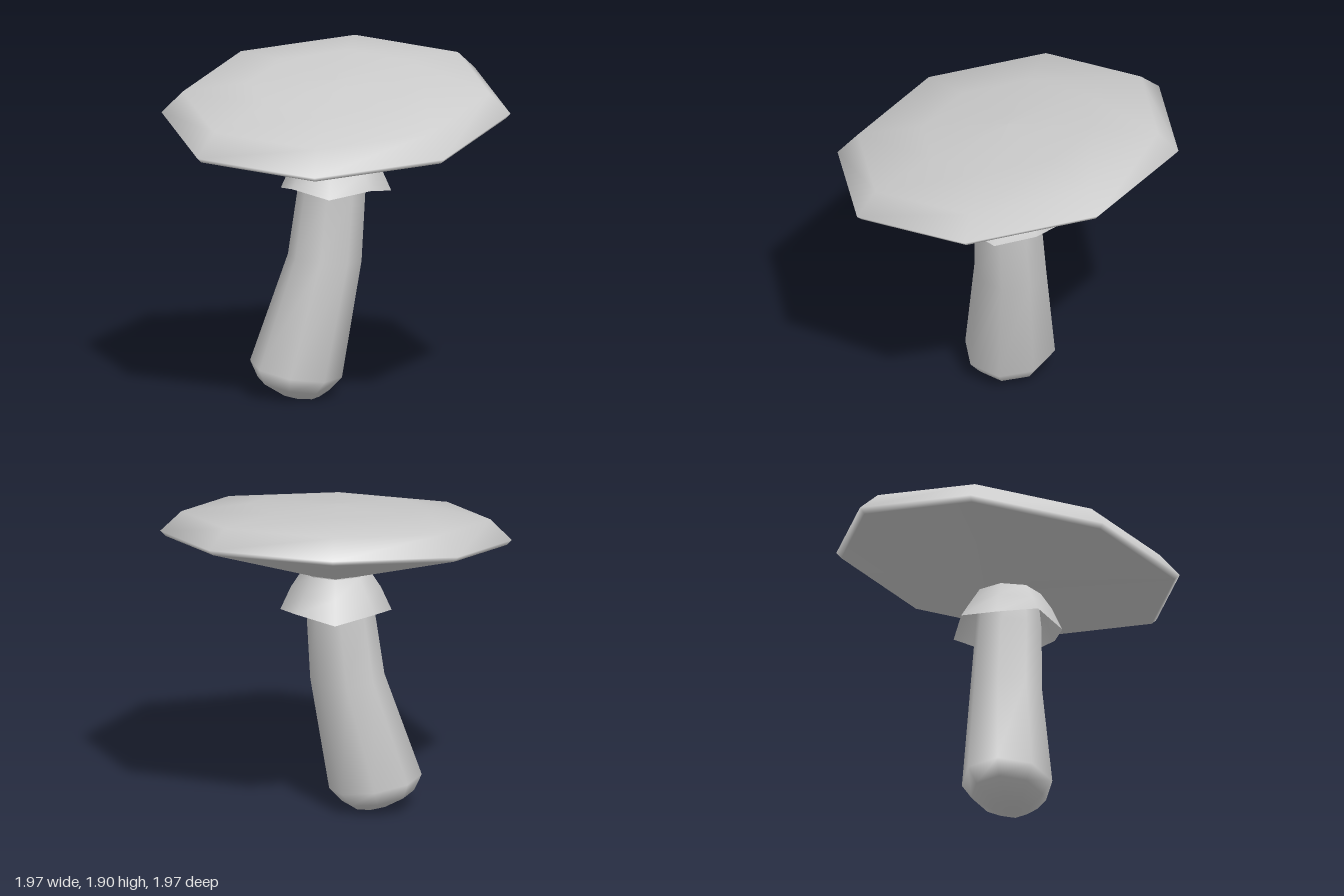
import * as THREE from 'three';

const SIDES = 8;
const TURN = THREE.MathUtils.degToRad(7.5);

// Smooth skin over rings {x, y, z, r, sx, sz, wave}; sx and sz tilt the ring,
// wave moves every other corner up and down. Rings run from bottom to top.
function loft(name, rings, { side = THREE.FrontSide } = {}) {
  const pos = [], idx = [];
  for (const { x = 0, y, z = 0, r, sx = 0, sz = 0, wave = 0 } of rings) {
    for (let i = 0; i < SIDES; i++) {
      const a = TURN + (i / SIDES) * Math.PI * 2;
      const dx = r * Math.cos(a), dz = r * Math.sin(a);
      pos.push(x + dx, y + sx * dx + sz * dz + (i % 2 ? -wave : wave), z + dz);
    }
  }
  for (let k = 0; k < rings.length - 1; k++) {
    for (let i = 0; i < SIDES; i++) {
      const a = k * SIDES + i, b = k * SIDES + (i + 1) % SIDES;
      const c = a + SIDES, d = b + SIDES;
      idx.push(a, c, b, b, c, d);
    }
  }
  const geo = new THREE.BufferGeometry();
  geo.setAttribute('position', new THREE.Float32BufferAttribute(pos, 3));
  geo.setIndex(idx);
  geo.computeVertexNormals();
  const mesh = new THREE.Mesh(geo, new THREE.MeshStandardMaterial({ color: 0xcccccc, side }));
  mesh.name = name;
  return mesh;
}

export function createModel() {
  const group = new THREE.Group();
  group.name = 'mushroom';

  // Bent stem with a rounded, slightly tilted foot
  group.add(loft('stem', [
    { x: -0.17, y: 0.005, z: -0.11, r: 0.001 },
    { x: -0.17, y: 0.015, z: -0.12, r: 0.11, sx: -0.04, sz: -0.1 },
    { x: -0.18, y: 0.075, z: -0.16, r: 0.205, sx: -0.07, sz: -0.15 },
    { x: -0.17, y: 0.16, z: -0.15, r: 0.262, sx: -0.067, sz: -0.155 },
    { x: -0.04, y: 0.8, z: -0.05, r: 0.21, sx: -0.05, sz: -0.05 },
    { x: -0.02, y: 1.2, z: -0.015, r: 0.193 },
    { x: 0, y: 1.45, z: 0, r: 0.17 },
  ]));

  // Flared skirt with a zigzag hem
  group.add(loft('skirt', [
    { y: 1.215, r: 0.315, wave: 0.02 },
    { y: 1.33, r: 0.255 },
    { y: 1.43, r: 0.19 },
  ], { side: THREE.DoubleSide }));

  // Tilted cap: gill cone, thin lip, rim and shallow dome
  const tilt = { sx: 0.147, sz: -0.085 }, rim = 1.635;
  group.add(loft('cap', [
    { y: 1.43, r: 0.175 },
    { y: rim - 0.03, r: 0.965, ...tilt },
    { y: rim, r: 0.995, ...tilt },
    { y: rim + 0.12, r: 0.875, ...tilt },
    { y: rim + 0.175, r: 0.5, ...tilt },
    { y: rim + 0.19, r: 0.001, ...tilt },
  ], { side: THREE.DoubleSide }));

  return group;
}
